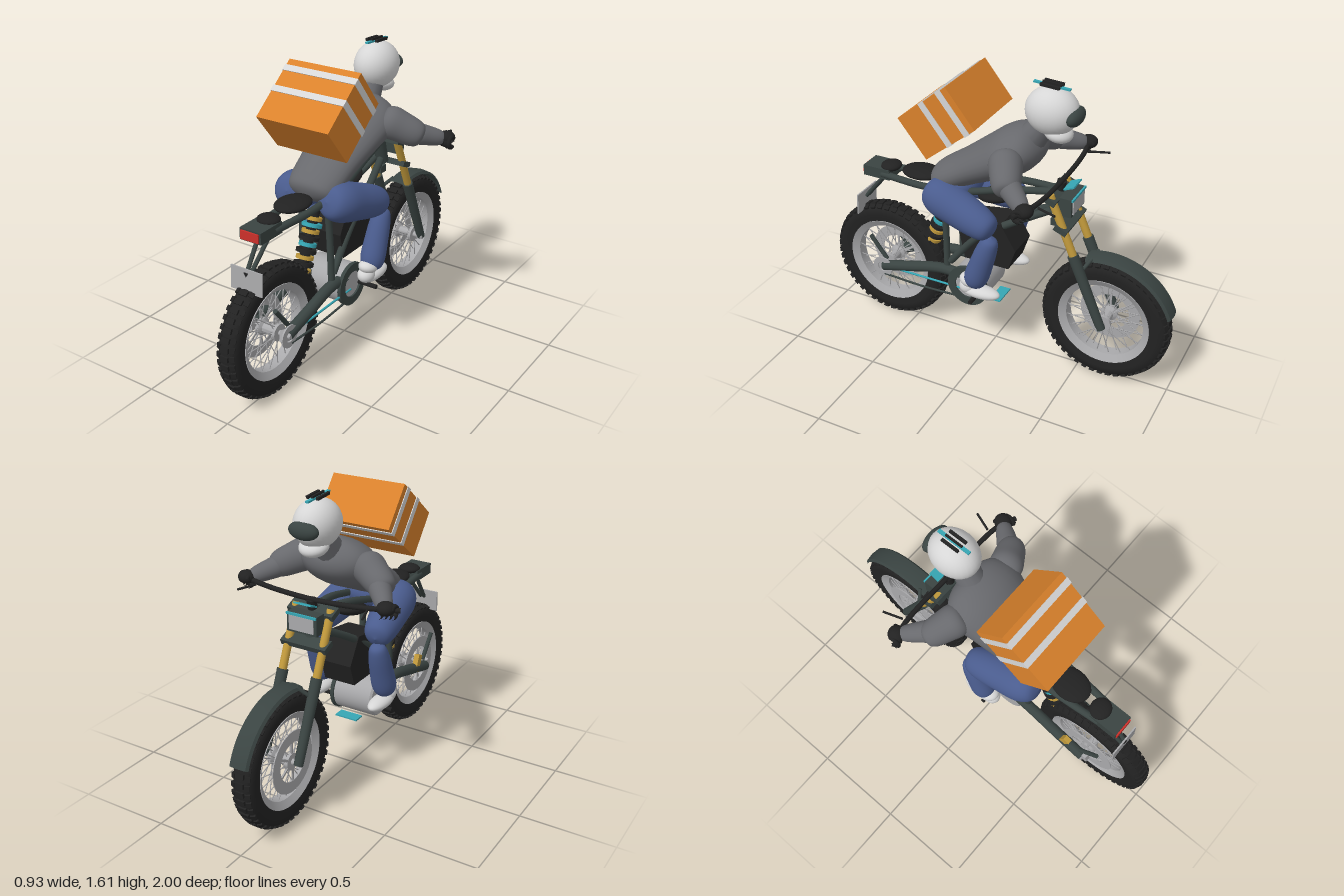
import * as THREE from 'three';
import { mergeGeometries, toCreasedNormals } from 'three/addons/utils/BufferGeometryUtils.js';

const material = (name, color, side = THREE.FrontSide) =>
  Object.assign(new THREE.MeshStandardMaterial({ color, side }), { name });
const V = (x, y, z) => new THREE.Vector3(x, y, z);
const UP = V(0, 1, 0);

export function createModel() {
  const group = new THREE.Group();
  const M = {
    rubber: material('black rubber', 0x222222),
    frame: material('dark green grey', 0x3a4442, THREE.DoubleSide),
    gold: material('gold', 0xc29a3c),
    silver: material('silver', 0xa9a9ab),
    white: material('off white', 0xd6d6d6),
    blue: material('denim blue', 0x4a5c8e),
    jacket: material('jacket grey', 0x68696d),
    orange: material('orange', 0xda822c),
    teal: material('teal', 0x36a6b4),
    red: material('red', 0xcc302a),
  };

  // Helpers
  const add = (name, geo, mat, p = [0, 0, 0], rx = 0, parent = group) => {
    const m = new THREE.Mesh(geo, mat);
    m.name = name;
    m.position.set(...p);
    m.rotation.x = rx;
    parent.add(m);
    return m;
  };
  const box = (name, size, mat, p, rx = 0, parent = group) =>
    add(name, new THREE.BoxGeometry(...size), mat, p, rx, parent);
  const ball = (name, r, mat, p, rx = 0) => {
    const m = add(name, new THREE.SphereGeometry(1, 28, 20), mat, p, rx);
    m.scale.set(...r);
    return m;
  };
  const rodGeo = (a, b, r1, r2 = r1, sides = 14) => {
    const d = V(...b).sub(V(...a)), g = new THREE.CylinderGeometry(r2, r1, d.length(), sides);
    g.applyQuaternion(new THREE.Quaternion().setFromUnitVectors(UP, d.normalize()));
    return g.translate((a[0] + b[0]) / 2, (a[1] + b[1]) / 2, (a[2] + b[2]) / 2);
  };
  const rod = (name, a, b, r1, mat, r2) => add(name, rodGeo(a, b, r1, r2), mat);
  const tube = (name, pts, r, mat) => add(name, new THREE.TubeGeometry(
    new THREE.CatmullRomCurve3(pts.map(p => V(...p)), false, 'centripetal'), 32, r, 10), mat);
  // Turned body from a to b; profile holds [radius, fraction along the axis]
  const turned = (name, a, b, profile, mat, wide = 1) => {
    const d = V(...b).sub(V(...a)), L = d.length();
    const curve = new THREE.SplineCurve(profile.map(([r, t]) => new THREE.Vector2(r, t * L)));
    const pts = curve.getPoints(30).map(p => p.set(Math.max(p.x, 0), p.y));
    const g = new THREE.LatheGeometry(pts, 28).scale(wide, 1, 1);
    g.applyQuaternion(new THREE.Quaternion().setFromUnitVectors(UP, d.normalize()));
    return add(name, g, mat, a);
  };
  // Lathe whose axis lies along x; profile holds [radius, x]
  const spin = (profile, seg = 64, start = 0, len = Math.PI * 2) => toCreasedNormals(
    new THREE.LatheGeometry(profile.map(([r, x]) => new THREE.Vector2(r, -x)).reverse(), seg, start, len)
      .rotateZ(Math.PI / 2), 0.7);
  const both = fn => [1, -1].forEach(fn);

  // Wheels
  for (const [end, z] of [['front', -0.64], ['rear', 0.65]]) {
    const wheel = new THREE.Group();
    wheel.name = end + 'Wheel';
    wheel.position.set(0, 0.355, z);
    group.add(wheel);
    const part = (name, geo, mat) => add(name, geo, mat, [0, 0, 0], 0, wheel);
    part('tyre', spin([[0.24, -0.045], [0.29, -0.055], [0.322, -0.052], [0.338, -0.036], [0.344, 0],
      [0.338, 0.036], [0.322, 0.052], [0.29, 0.055], [0.24, 0.045]]), M.rubber);
    part('rim', spin([[0.212, -0.03], [0.25, -0.052], [0.25, 0.052], [0.212, 0.03], [0.212, -0.03]]), M.silver);
    part('hub', spin([[0, -0.06], [0.045, -0.06], [0.045, -0.04], [0.028, -0.03], [0.028, 0.03],
      [0.045, 0.04], [0.045, 0.06], [0, 0.06]], 28), M.silver);
    part('brakeDisc', spin([[0.105, -0.062], [0.165, -0.062], [0.165, -0.056], [0.105, -0.056], [0.105, -0.062]]), M.silver);
    const knobs = [], spokes = [], carriers = [];
    for (let i = 0; i < 46; i++) {
      const a = i / 46 * Math.PI * 2;
      for (const s of [-1, 0, 1]) knobs.push(new THREE.BoxGeometry(s ? 0.026 : 0.046, 0.018, 0.026)
        .rotateZ(-s * 0.45).translate(s * 0.038, s ? 0.334 : 0.342, 0).rotateX(a + (s ? 0 : 0.02)));
    }
    for (let i = 0; i < 40; i++) {
      const a = i / 40 * Math.PI * 2, b = a + (i % 4 < 2 ? 0.35 : -0.35), x = i % 2 ? 0.045 : -0.045;
      spokes.push(rodGeo([x, 0.04 * Math.sin(b), 0.04 * Math.cos(b)],
        [x * 0.3, 0.216 * Math.sin(a), 0.216 * Math.cos(a)], 0.0028, 0.0028, 5));
    }
    for (let i = 0; i < 6; i++) carriers.push(new THREE.BoxGeometry(0.005, 0.08, 0.012)
      .translate(-0.057, 0.076, 0).rotateX(i * Math.PI / 3));
    part('treadBlocks', mergeGeometries(knobs), M.rubber);
    part('spokes', mergeGeometries(spokes), M.silver);
    part('discCarrier', mergeGeometries(carriers), M.silver);
  }

  // Front fork, mudguard, steering
  add('frontMudguard', spin([[0.36, -0.055], [0.374, -0.045], [0.38, 0], [0.374, 0.045], [0.36, 0.055]],
    32, 1.25, 1.55), M.frame, [0, 0.355, -0.64]);
  both(s => {
    rod('forkUpper', [s * 0.1, 1.06, -0.345], [s * 0.1, 0.7, -0.5], 0.021, M.gold);
    rod('forkLower', [s * 0.1, 0.75, -0.478], [s * 0.1, 0.35, -0.65], 0.029, M.frame, 0.024);
    rod('mudguardStay', [s * 0.1, 0.66, -0.52], [s * 0.04, 0.72, -0.56], 0.01, M.frame);
  });
  rod('frontAxle', [-0.12, 0.355, -0.64], [0.12, 0.355, -0.64], 0.016, M.silver);
  box('upperClamp', [0.26, 0.03, 0.07], M.frame, [0, 1.04, -0.35], -0.4);
  box('lowerClamp', [0.26, 0.03, 0.07], M.frame, [0, 0.89, -0.415], -0.4);
  rod('steeringHead', [0, 1.06, -0.325], [0, 0.9, -0.37], 0.034, M.frame);
  tube('handlebar', [[-0.46, 1.12, -0.31], [-0.36, 1.12, -0.35], [-0.22, 1.11, -0.365], [0, 1.1, -0.365],
    [0.22, 1.11, -0.365], [0.36, 1.12, -0.35], [0.46, 1.12, -0.31]], 0.013, M.rubber);
  rod('handlebarRiser', [0, 1.03, -0.35], [0, 1.1, -0.365], 0.025, M.rubber);
  box('headlightShell', [0.17, 0.1, 0.065], M.frame, [0, 1.0, -0.42]);
  box('headlightLens', [0.14, 0.075, 0.008], M.silver, [0, 1.0, -0.455]);
  box('headlightBar', [0.17, 0.012, 0.009], M.teal, [0, 1.045, -0.456]);
  box('display', [0.1, 0.008, 0.06], M.teal, [0, 1.09, -0.42], 0.4);
  box('horn', [0.05, 0.04, 0.05], M.frame, [0, 0.865, -0.345]);

  // Frame tubes and swingarm on each side
  both(s => {
    tube('topTube', [[s * 0.02, 1.04, -0.33], [s * 0.06, 1.01, -0.1], [s * 0.085, 0.95, 0.15],
      [s * 0.075, 0.915, 0.38], [s * 0.05, 0.91, 0.66]], 0.019, M.frame);
    tube('downTube', [[s * 0.02, 0.93, -0.32], [s * 0.06, 0.82, -0.12], [s * 0.08, 0.7, 0.06],
      [s * 0.085, 0.5, 0.23]], 0.02, M.frame);
    tube('seatPost', [[s * 0.08, 0.94, 0.27], [s * 0.085, 0.7, 0.255], [s * 0.09, 0.46, 0.25]], 0.018, M.frame);
    tube('swingarm', [[s * 0.105, 0.355, 0.65], [s * 0.105, 0.4, 0.48], [s * 0.1, 0.445, 0.28],
      [s * 0.09, 0.43, 0.13]], 0.03, M.frame);
    box('axleBlock', [0.03, 0.055, 0.07], M.silver, [s * 0.1, 0.355, 0.65], -0.2);
    rod('swingarmBrace', [s * 0.1, 0.53, 0.73], [s * 0.1, 0.4, 0.63], 0.012, M.frame);
    rod('footPeg', [s * 0.1, 0.375, 0.04], [s * 0.23, 0.375, 0.04], 0.012, M.rubber);
  });
  rod('rearAxle', [-0.13, 0.355, 0.65], [0.13, 0.355, 0.65], 0.014, M.silver);
  box('brakeCaliper', [0.03, 0.1, 0.04], M.gold, [-0.115, 0.42, 0.53], 0.4);

  // Battery pack and motor
  const pack = new THREE.Shape([[0.17, 0.69], [0.12, 0.78], [-0.07, 0.81], [-0.155, 0.67], [-0.115, 0.55],
    [0.14, 0.55]].map(([z, y]) => new THREE.Vector2(-z, y)));
  add('batteryPack', new THREE.ExtrudeGeometry(pack, { depth: 0.18, bevelEnabled: false })
    .translate(0, 0, -0.09).rotateY(Math.PI / 2), M.rubber);
  add('motor', spin([[0, -0.12], [0.1, -0.12], [0.11, -0.11], [0.11, 0.11], [0.1, 0.12], [0, 0.12]], 40),
    M.silver, [0, 0.395, 0.11]);
  add('motorRing', spin([[0.072, 0.11], [0.118, 0.11], [0.118, 0.13], [0.072, 0.13], [0.072, 0.11]], 40),
    M.frame, [0, 0.395, 0.11]);
  box('motorStripe', [0.13, 0.008, 0.06], M.teal, [0, 0.305, -0.025]);
  rod('driveBeltTop', [0.12, 0.365, 0.62], [0.12, 0.365, 0.12], 0.006, M.teal);
  tube('driveBeltBottom', [[0.12, 0.31, 0.64], [0.12, 0.3, 0.4], [0.12, 0.31, 0.12]], 0.006, M.frame);
  add('rearSprocket', spin([[0.03, 0.115], [0.06, 0.115], [0.06, 0.123], [0.03, 0.123], [0.03, 0.115]], 32),
    M.silver, [0, 0.355, 0.65]);

  // Rear shock: stacked rings around a shaft
  const top = V(0, 0.85, 0.26), foot = V(0, 0.54, 0.39);
  rod('shockShaft', top.toArray(), foot.toArray(), 0.027, M.rubber);
  for (let i = 0; i < 9; i++) {
    const c = i === 4 || i === 1 ? M.teal : i % 2 ? M.rubber : M.gold;
    rod('shockRing', top.clone().lerp(foot, 0.1 + i * 0.1).toArray(),
      top.clone().lerp(foot, 0.155 + i * 0.1).toArray(), i % 2 ? 0.053 : 0.046, c);
  }

  // Seat, tail light, number plate
  ball('seatRear', [0.085, 0.028, 0.11], M.rubber, [0, 0.955, 0.44]);
  ball('seatTail', [0.06, 0.025, 0.055], M.rubber, [0, 0.947, 0.63]);
  ball('tankPad', [0.08, 0.035, 0.11], M.rubber, [0, 0.93, -0.01], 0.2);
  box('tailUnit', [0.125, 0.06, 0.16], M.frame, [0, 0.915, 0.69]);
  box('tailLight', [0.105, 0.045, 0.009], M.red, [0, 0.915, 0.774]);
  both(s => rod('plateStrut', [s * 0.03, 0.89, 0.66], [s * 0.01, 0.72, 0.8], 0.011, M.frame));
  box('numberPlate', [0.185, 0.12, 0.008], M.silver, [0, 0.7, 0.808], -0.05);
  add('plateReflector', new THREE.CylinderGeometry(0.014, 0.014, 0.006, 3).rotateX(Math.PI / 2), M.rubber, [0, 0.735, 0.812]);

  // Rider's body and head
  turned('torso', [0, 0.95, 0.335], [0, 1.3, -0.245],
    [[0, 0], [0.06, 0.03], [0.083, 0.12], [0.093, 0.35], [0.112, 0.6], [0.123, 0.78], [0.1, 0.92], [0.055, 0.985], [0, 1]],
    M.jacket, 1.72);
  ball('pelvis', [0.17, 0.09, 0.11], M.blue, [0, 0.96, 0.2]);
  rod('neck', [0, 1.25, -0.16], [0, 1.38, -0.255], 0.085, M.jacket, 0.062);
  ball('helmet', [0.112, 0.122, 0.137], M.white, [0, 1.465, -0.3]);
  ball('chinGuard', [0.075, 0.045, 0.075], M.white, [0, 1.358, -0.335], -0.25);
  ball('visor', [0.082, 0.046, 0.04], M.frame, [0, 1.458, -0.42]);
  box('helmetStripe', [0.018, 0.009, 0.19], M.teal, [0, 1.592, -0.295], -0.06);
  both(s => box('helmetFin', [0.014, 0.014, 0.1], M.rubber, [s * 0.028, 1.598, -0.295], -0.06));
  box('helmetFin', [0.01, 0.012, 0.1], M.rubber, [0, 1.602, -0.295], -0.06);

  // Limbs
  both(s => {
    const limb = (name, a, b, r1, r2, mat) => turned(name, [s * a[0], a[1], a[2]], [s * b[0], b[1], b[2]],
      [[0, 0], [r1 * 0.7, 0.05], [r1, 0.22], [(r1 + r2) / 2 * 1.04, 0.5], [r2, 0.8], [r2 * 0.7, 0.95], [0, 1]], mat);
    limb('upperArm', [0.14, 1.255, -0.12], [0.335, 1.155, -0.22], 0.084, 0.07, M.jacket);
    limb('forearm', [0.27, 1.18, -0.19], [0.39, 1.125, -0.335], 0.055, 0.043, M.jacket);
    ball('glove', [0.045, 0.035, 0.045], M.rubber, [s * 0.4, 1.13, -0.345]);
    for (let i = 0; i < 4; i++) add('finger', new THREE.TorusGeometry(0.027, 0.012, 8, 14, 4.6).rotateY(Math.PI / 2),
      M.rubber, [s * (0.375 + i * 0.02), 1.115, -0.355 + i * 0.008], 0.6);
    rod('lever', [s * 0.32, 1.115, -0.38], [s * 0.355, 1.115, -0.48], 0.006, M.rubber);
    limb('thigh', [0.12, 0.95, 0.335], [0.19, 0.82, -0.08], 0.103, 0.084, M.blue);
    limb('shin', [0.195, 0.79, -0.07], [0.19, 0.465, 0.04], 0.054, 0.065, M.blue);
    ball('ankle', [0.05, 0.035, 0.055], M.white, [s * 0.19, 0.495, 0.06], -0.25);
    ball('heel', [0.045, 0.042, 0.05], M.white, [s * 0.185, 0.45, 0.07]);
    ball('foot', [0.05, 0.034, 0.112], M.white, [s * 0.185, 0.432, 0.0]);
  });

  // Delivery box on the back, with bands around it
  const pack2 = new THREE.Group();
  pack2.name = 'backBox';
  pack2.position.set(0, 1.366, 0.226);
  pack2.rotation.x = 0.674;
  group.add(pack2);
  box('boxBody', [0.416, 0.25, 0.35], M.orange, [0, 0, 0], 0, pack2);
  for (const z of [-0.122, 0.002]) box('boxBand', [0.424, 0.258, 0.034], M.white, [0, 0, z], 0, pack2);

  return group;
}
